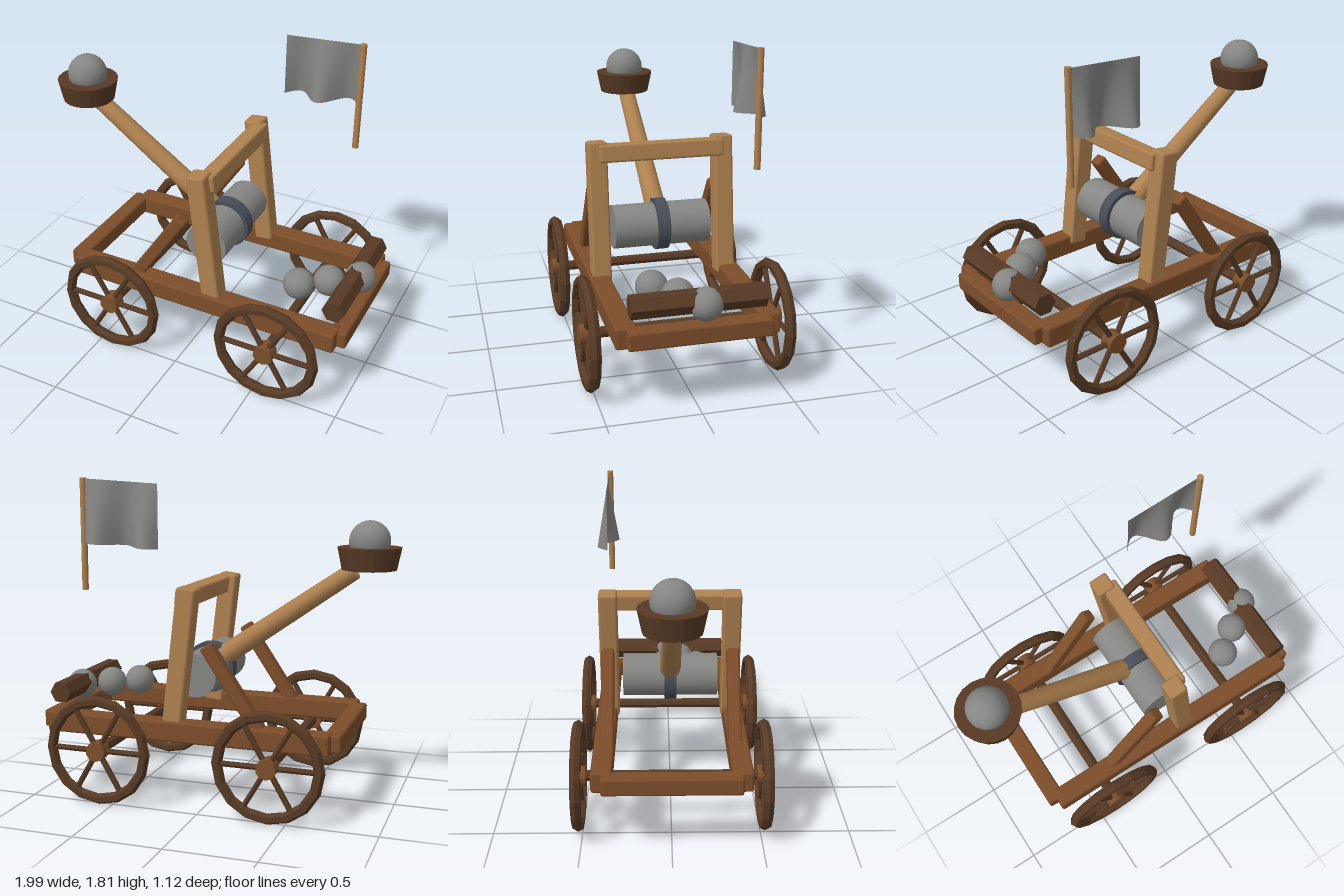
import * as THREE from 'three';
import { RoundedBoxGeometry } from 'three/addons/geometries/RoundedBoxGeometry.js';

export function createModel() {
  const model = new THREE.Group();
  model.name = 'catapult';

  const material = (name, color, extra = {}) =>
    Object.assign(new THREE.MeshStandardMaterial({ color }), { name }, extra);
  const lightWood = material('light wood', 0xae8150);
  const midWood = material('brown wood', 0x7d4e2b);
  const darkWood = material('dark wood', 0x573a25, { flatShading: true });
  const stone = material('grey stone', 0x868684);
  const cloth = material('grey cloth', 0x868685, { side: THREE.DoubleSide });
  const iron = material('dark iron', 0x484d58);

  const add = (name, geometry, mat, x, y, z, parent = model) => {
    const mesh = new THREE.Mesh(geometry, mat);
    mesh.name = name;
    mesh.position.set(x, y, z);
    parent.add(mesh);
    return mesh;
  };
  const beam = (name, w, h, d, mat, x, y, z, tilt = 0) => {
    const mesh = add(name, new RoundedBoxGeometry(w, h, d, 1, 0.014), mat, x, y, z);
    mesh.rotation.z = tilt;
    return mesh;
  };
  // Cylinder lying along z
  const crossRod = (r, length, sides) =>
    new THREE.CylinderGeometry(r, r, length, sides).rotateX(Math.PI / 2);

  // Frame, uprights and braces, mirrored front to back
  for (const s of [1, -1]) {
    beam('sideRail', 1.645, 0.117, 0.115, midWood, 0.11, 0.438, s * 0.377);
    beam('upright', 0.11, 0.8, 0.108, lightWood, 0.139, 0.84, s * 0.36, 0.12);
    beam('brace', 0.075, 0.56, 0.075, midWood, -0.165, 0.692, s * 0.36, -0.59);
  }
  beam('rearBeam', 0.1, 0.1, 0.76, midWood, -0.715, 0.438, 0);
  beam('frontBeam', 0.1, 0.1, 0.76, midWood, 0.933, 0.438, 0);
  beam('topCrossbar', 0.095, 0.1, 0.71, lightWood, 0.131, 1.177, 0, 0.12);

  // Axles and wheels
  const rimGeometry = new THREE.TorusGeometry(0.282, 0.031, 6, 16);
  const spokeGeometry = new THREE.CylinderGeometry(0.016, 0.016, 0.55, 6);
  for (const x of [-0.405, 0.577]) {
    add('axle', crossRod(0.031, 1.06, 8), darkWood, x, 0.322, 0);
    for (const s of [1, -1]) {
      const wheel = new THREE.Group();
      wheel.name = 'wheel';
      wheel.position.set(x, 0.322, s * 0.52);
      add('rim', rimGeometry, darkWood, 0, 0, 0, wheel);
      add('hub', crossRod(0.056, 0.08, 10), midWood, 0, 0, 0, wheel);
      for (let i = 0; i < 3; i++) {
        const spoke = add('spoke', spokeGeometry, darkWood, 0, 0, 0, wheel);
        spoke.rotation.z = Math.PI / 2 + (i * Math.PI) / 3;
      }
      model.add(wheel);
    }
  }

  // Counterweight drum and its iron band
  add('drum', crossRod(0.124, 0.55, 32), stone, 0.09, 0.73, 0);
  add('drumBand', crossRod(0.147, 0.07, 32), iron, 0.09, 0.73, 0);

  // Throwing arm from the drum up to the cup
  const armStart = new THREE.Vector3(0.09, 0.742, 0);
  const armEnd = new THREE.Vector3(-0.745, 1.322, 0);
  const armVector = armEnd.clone().sub(armStart);
  const arm = add('throwingArm',
    new THREE.CylinderGeometry(0.05, 0.062, armVector.length(), 12), lightWood, 0, 0, 0);
  arm.position.copy(armStart).lerp(armEnd, 0.5);
  arm.quaternion.setFromUnitVectors(new THREE.Vector3(0, 1, 0), armVector.normalize());

  // Cup with its loaded stone
  add('cup', new THREE.CylinderGeometry(0.175, 0.15, 0.122, 20), darkWood, -0.823, 1.39, 0);
  add('loadedStone', new THREE.SphereGeometry(0.113, 24, 16), stone, -0.823, 1.483, 0);

  // Spare stones held back by a hexagonal log
  const spare = new THREE.SphereGeometry(0.088, 20, 14);
  for (const [x, z] of [[0.62, 0.175], [0.76, 0.07], [0.908, -0.038]]) {
    add('spareStone', spare, stone, x, 0.574, z);
  }
  const log = add('log', crossRod(0.064, 0.71, 6), darkWood, 0.89, 0.59, 0);
  log.rotation.z = Math.PI / 6;

  // Flagpole and flag, with ripples that deepen toward the lower edge
  add('flagpole', new THREE.CylinderGeometry(0.018, 0.018, 0.62, 10), lightWood, 0.708, 1.51, -0.358);
  const flag = new THREE.PlaneGeometry(1, 1, 24, 8);
  const p = flag.attributes.position;
  for (let i = 0; i < p.count; i++) {
    const u = p.getX(i) + 0.5;
    const v = 0.5 - p.getY(i);
    p.setXYZ(i, 0.265 + 0.435 * u, 1.79 + 0.025 * u - 0.352 * v,
      -0.362 - 0.062 * v * Math.sin(3 * Math.PI * u));
  }
  flag.computeVertexNormals();
  add('flag', flag, cloth, 0, 0, 0);

  return model;
}
